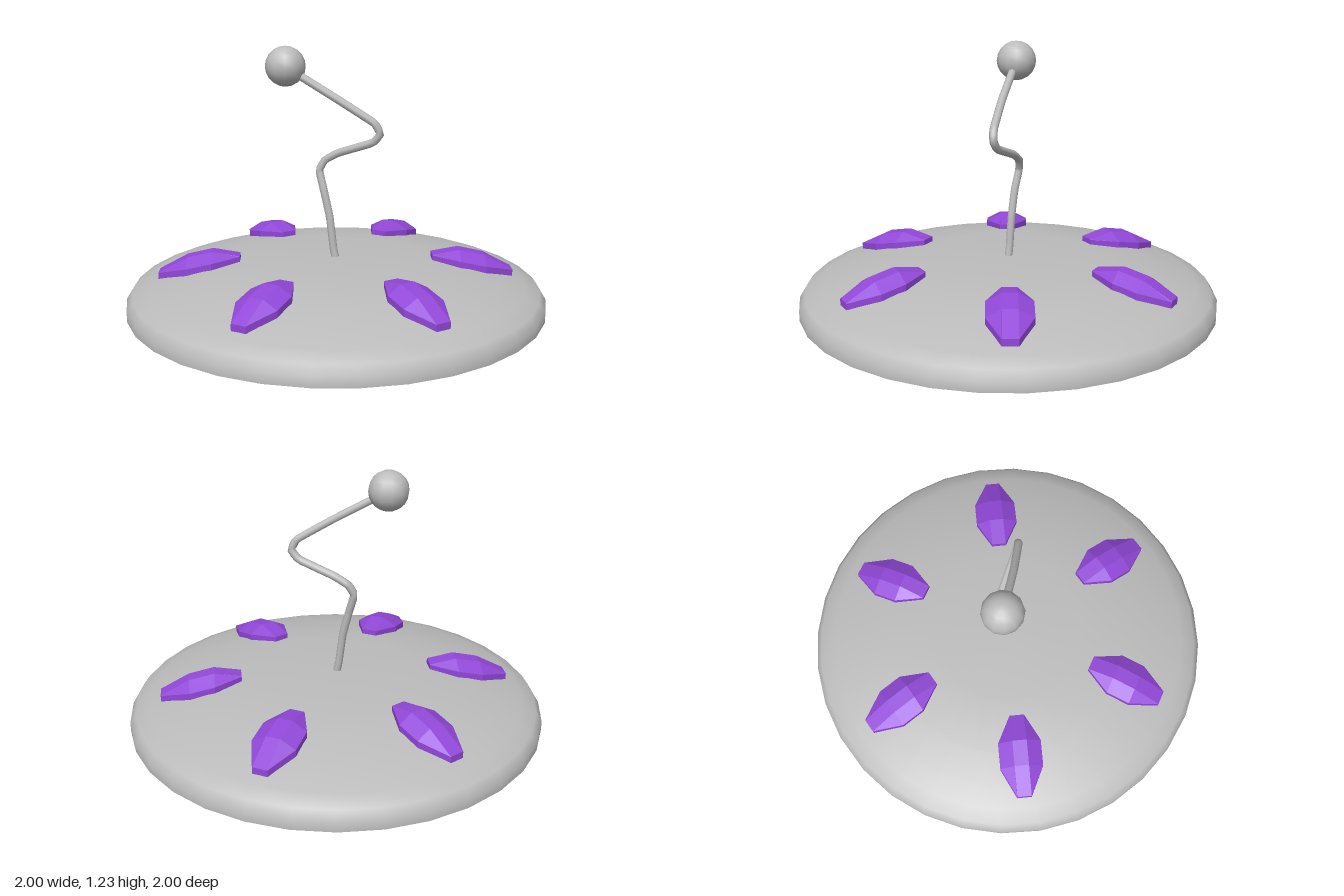
import * as THREE from 'three';

const grey = new THREE.MeshStandardMaterial({ color: 0xbcbcbc });
grey.name = 'grey';
const purple = new THREE.MeshStandardMaterial({ color: 0x9148d8 });
purple.name = 'purple';

function add(parent, name, geometry, material) {
  const mesh = new THREE.Mesh(geometry, material);
  mesh.name = name;
  parent.add(mesh);
  return mesh;
}

// Faceted gem lying along +z, lofted from four cross-sections:
// [z, half width, side bottom, side top, ridge height]
function gemGeometry() {
  const ridge = 0.035;
  const rings = [
    [0.46, 0.036, 0.205, 0.238, 0.24],
    [0.59, 0.105, 0.185, 0.225, 0.263],
    [0.71, 0.105, 0.162, 0.2, 0.237],
    [0.848, 0.036, 0.128, 0.162, 0.164],
  ].map(([z, w, low, high, top]) => [
    [w, low, z], [w, high, z], [ridge, top, z],
    [-ridge, top, z], [-w, high, z], [-w, low, z],
  ]);
  const pos = [];
  const tri = (a, b, c) => pos.push(...a, ...b, ...c);
  for (let r = 0; r < rings.length - 1; r++) {
    for (let i = 0; i < 6; i++) {
      const j = (i + 1) % 6;
      const a = rings[r][i], b = rings[r][j], c = rings[r + 1][j], d = rings[r + 1][i];
      tri(a, b, c);
      tri(a, c, d);
    }
  }
  // end caps
  const first = rings[0], last = rings[rings.length - 1];
  for (let i = 1; i < 5; i++) {
    tri(first[0], first[i + 1], first[i]);
    tri(last[0], last[i], last[i + 1]);
  }
  const g = new THREE.BufferGeometry();
  g.setAttribute('position', new THREE.Float32BufferAttribute(pos, 3));
  // order the corners so every face looks outward
  const p = g.attributes.position;
  const [A, B, C] = [0, 1, 2].map(() => new THREE.Vector3());
  const centre = new THREE.Vector3(0, 0.2, 0.65);
  for (let i = 0; i < p.count; i += 3) {
    A.fromBufferAttribute(p, i);
    B.fromBufferAttribute(p, i + 1);
    C.fromBufferAttribute(p, i + 2);
    const n = B.clone().sub(A).cross(C.clone().sub(A));
    if (n.dot(A.clone().add(B).add(C).divideScalar(3).sub(centre)) < 0) {
      p.setXYZ(i + 1, C.x, C.y, C.z);
      p.setXYZ(i + 2, B.x, B.y, B.z);
    }
  }
  g.computeVertexNormals();
  return g;
}

export function createModel() {
  const model = new THREE.Group();
  model.name = 'domeWithAntenna';

  // shallow dome with a flat underside
  const profile = [
    [1, 0], [1, 0.045], [0.972, 0.088], [0.9, 0.117], [0.8, 0.147],
    [0.64, 0.189], [0.38, 0.226], [0, 0.227],
  ].map(([x, y]) => new THREE.Vector2(x, y));
  add(model, 'dome', new THREE.LatheGeometry(profile, 32), grey);
  add(model, 'domeUnderside', new THREE.CircleGeometry(1, 32).rotateX(Math.PI / 2), grey);

  // ring of six gems
  const gem = gemGeometry();
  for (let i = 0; i < 6; i++) {
    add(model, 'gem' + (i + 1), gem, purple).rotation.y = (i * Math.PI) / 3;
  }

  // crooked antenna stem
  const path = [
    [0, 0.2, 0], [-0.015, 0.27, 0], [-0.035, 0.42, 0], [-0.065, 0.54, 0],
    [-0.095, 0.64, -0.008], [-0.07, 0.69, -0.02], [0, 0.73, -0.03],
    [0.17, 0.79, -0.04], [0.208, 0.833, -0.042], [0.185, 0.885, -0.03],
    [0.02, 0.99, 0.02], [-0.225, 1.135, 0.08],
  ].map((p) => new THREE.Vector3(...p));
  const curve = new THREE.CatmullRomCurve3(path, false, 'catmullrom', 0.15);
  add(model, 'antennaStem', new THREE.TubeGeometry(curve, 60, 0.019, 8), grey);

  // ball at the tip
  add(model, 'antennaBall', new THREE.SphereGeometry(0.095, 12, 10), grey)
    .position.set(-0.225, 1.137, 0.08);

  return model;
}
